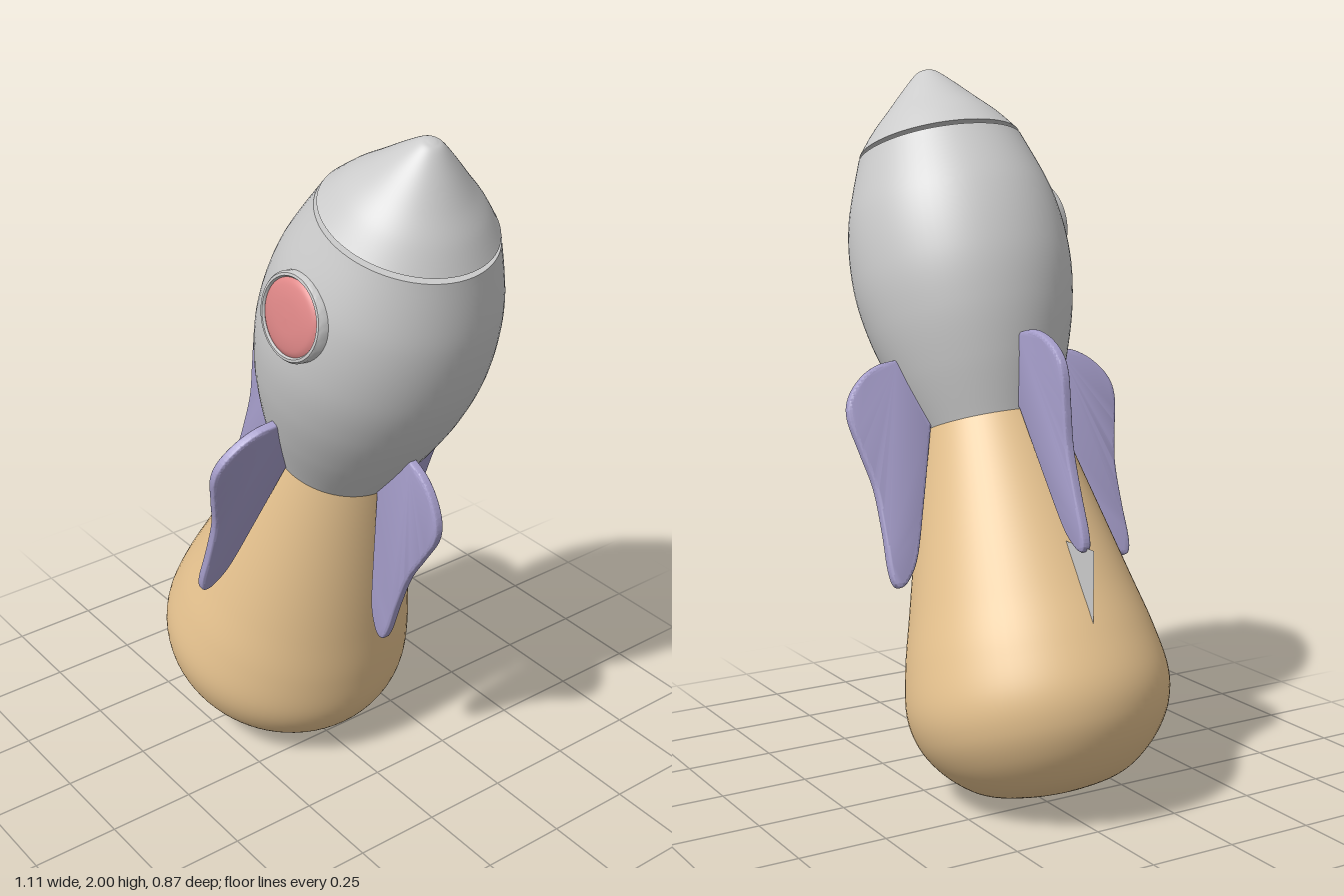
import * as THREE from 'three';
import { toCreasedNormals } from 'three/addons/utils/BufferGeometryUtils.js';

const paint = (color) => new THREE.MeshStandardMaterial({ color, side: THREE.DoubleSide });
const grey = paint(0xcccccc);
const flameTan = paint(0xe8c490);
const finPurple = paint(0xa69ecb);
const glassRed = paint(0xe08888);

function add(parent, name, geometry, material) {
  const mesh = new THREE.Mesh(geometry, material);
  mesh.name = name;
  parent.add(mesh);
  return mesh;
}

// smooth solid of revolution through [radius, height] points, bottom to top
function turned(points, steps = 48) {
  const curve = new THREE.SplineCurve(points.map(([r, y]) => new THREE.Vector2(r, y)));
  const profile = curve.getPoints(steps);
  profile.forEach((p) => { p.x = Math.max(0, p.x); });
  return new THREE.LatheGeometry(profile, 72);
}

function disc(parent, name, radius, y, up) {
  const cap = add(parent, name, new THREE.CircleGeometry(radius, 72), grey);
  cap.position.y = y;
  cap.rotation.x = up ? -Math.PI / 2 : Math.PI / 2;
}

// swept fin outline: x is distance from the axis, y is height along it
function finGeometry() {
  const shape = new THREE.Shape();
  const v = (x, y) => new THREE.Vector2(x, y);
  shape.moveTo(0.15, 0);
  shape.lineTo(0.15, 0.2);
  shape.lineTo(0.26, 0.198);
  shape.splineThru([
    v(0.32, 0.188), v(0.375, 0.157), v(0.42, 0.105), v(0.433, 0.045), v(0.413, -0.05),
    v(0.391, -0.15), v(0.387, -0.27), v(0.389, -0.364), v(0.382, -0.41), v(0.363, -0.422),
    v(0.335, -0.405), v(0.297, -0.345), v(0.25, -0.2), v(0.19, 0),
  ]);
  const geometry = new THREE.ExtrudeGeometry(shape, {
    depth: 0.006, curveSegments: 48, bevelEnabled: true,
    bevelThickness: 0.011, bevelSize: 0.011, bevelOffset: -0.011, bevelSegments: 5,
  });
  geometry.translate(0, 0, -0.003);
  return toCreasedNormals(geometry, 0.7);
}

export function createModel() {
  const model = new THREE.Group();
  model.name = 'rocket';

  // everything leans 20 degrees; the origin is the base of the hull
  const tilted = new THREE.Group();
  tilted.name = 'tiltedRocket';
  tilted.position.set(0.06, 1.025, 0);
  tilted.rotation.z = THREE.MathUtils.degToRad(-20);
  model.add(tilted);

  // hull with closed ends
  add(tilted, 'hull', turned([
    [0.19, 0], [0.25, 0.15], [0.294, 0.3], [0.312, 0.45], [0.295, 0.62], [0.237, 0.797],
  ]), grey);
  disc(tilted, 'hullBase', 0.19, 0, false);
  disc(tilted, 'hullTop', 0.237, 0.797, true);

  // nose cone, separated by a narrow gap
  add(tilted, 'noseCone', turned([
    [0.232, 0.81], [0.186, 0.87], [0.134, 0.925], [0.078, 0.985], [0.035, 1.027], [0.014, 1.037], [0, 1.039],
  ]), grey);
  disc(tilted, 'noseBase', 0.232, 0.81, false);

  // exhaust plume
  add(tilted, 'exhaustPlume', turned([
    [0, -1.04], [0.08, -1.036], [0.172, -1.018], [0.24, -0.983], [0.305, -0.922], [0.35, -0.846],
    [0.366, -0.755], [0.347, -0.63], [0.312, -0.49], [0.277, -0.35], [0.233, -0.175], [0.19, 0],
  ], 80), flameTan);

  // four fins
  const fin = finGeometry();
  for (let i = 0; i < 4; i++) {
    add(tilted, 'fin', fin, finPurple).rotation.y = i * Math.PI / 2;
  }

  // porthole on the front, leaning with the hull
  const porthole = new THREE.Group();
  porthole.name = 'porthole';
  porthole.position.set(0, 0.579, 0.3);
  porthole.rotation.x = THREE.MathUtils.degToRad(-9);
  tilted.add(porthole);
  const rimProfile = [[0.116, -0.04], [0.116, 0.002], [0.111, 0.009], [0.104, 0.01], [0.1, 0.004], [0.1, -0.03]]
    .map(([r, y]) => new THREE.Vector2(r, y));
  const rim = add(porthole, 'portholeRim', toCreasedNormals(new THREE.LatheGeometry(rimProfile, 64), 0.7), grey);
  const glass = add(porthole, 'portholeGlass', turned([
    [0.1, 0.004], [0.085, 0.012], [0.05, 0.018], [0, 0.02],
  ], 16), glassRed);
  rim.rotation.x = glass.rotation.x = Math.PI / 2;

  // small upright plate poking out of the plume
  add(model, 'plate', new THREE.PlaneGeometry(0.3, 0.3), grey).position.set(-0.32, 0.615, 0);

  return model;
}
